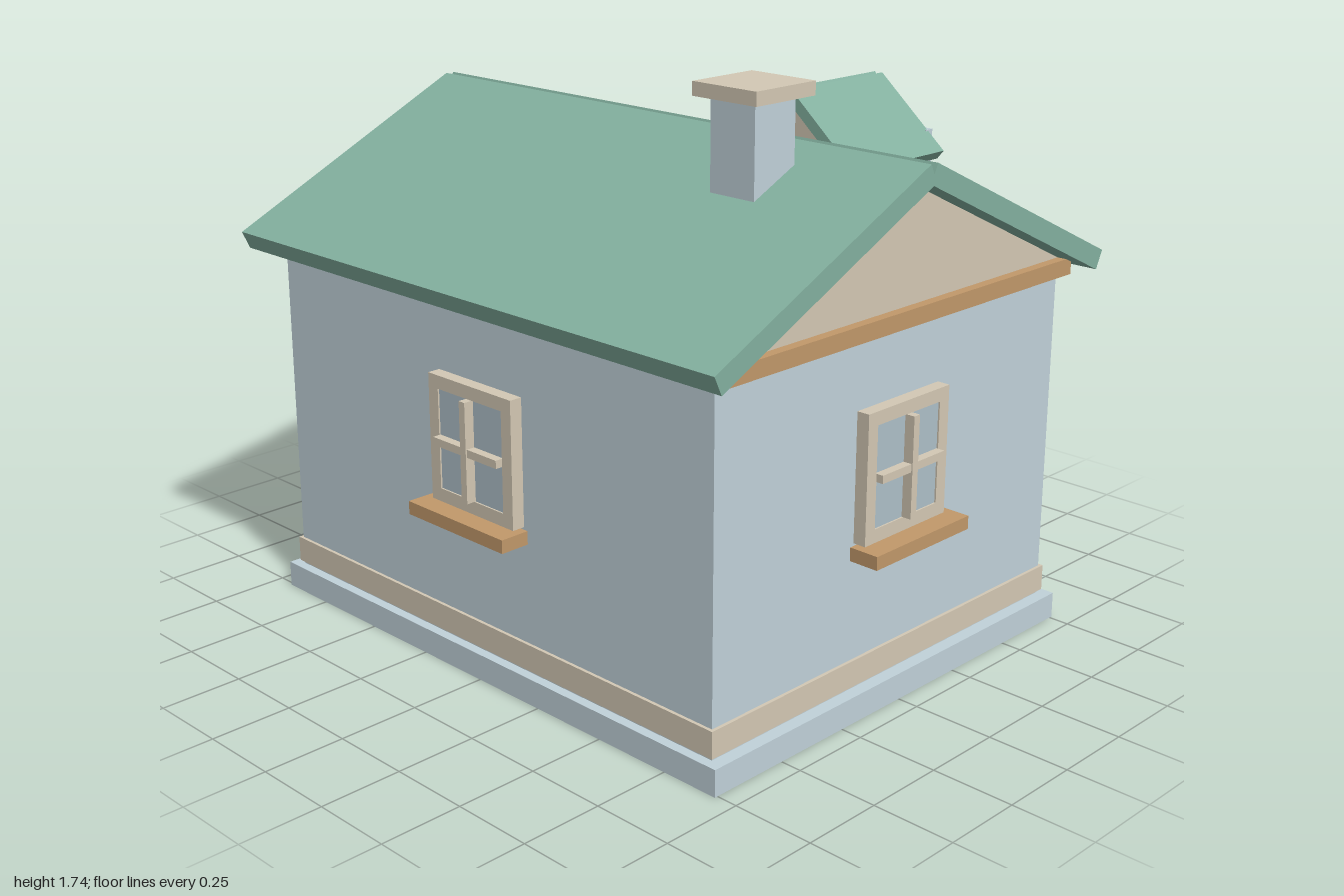
import * as THREE from 'three';

const mat = (name, color, side = THREE.FrontSide) => {
  const m = new THREE.MeshStandardMaterial({ color, side });
  m.name = name;
  return m;
};

export function createModel() {
  const wall = mat('pale blue wall', 0xc0d1d9);
  const cream = mat('cream trim', 0xd3c8b4);
  const green = mat('green roof', 0x83b09f);
  const shutterGreen = mat('shutter green', 0x6a9f8b);
  const wood = mat('brown wood', 0xc1986a);
  const glass = mat('window glass', 0xaebfc8);

  const house = new THREE.Group();
  house.name = 'house';

  const add = (parent, name, geometry, material) => {
    const mesh = new THREE.Mesh(geometry, material);
    mesh.name = name;
    parent.add(mesh);
    return mesh;
  };
  // Box given by its lower and upper corners
  const box = (parent, name, material, [x0, y0, z0], [x1, y1, z1]) => {
    const mesh = add(parent, name, new THREE.BoxGeometry(x1 - x0, y1 - y0, z1 - z0), material);
    mesh.position.set((x0 + x1) / 2, (y0 + y1) / 2, (z0 + z1) / 2);
    return mesh;
  };
  const block = (name, material, hx, y0, y1, hz) =>
    box(house, name, material, [-hx, y0, -hz], [hx, y1, hz]);
  // Profile in x and y, extruded along z from z0 to z1
  const prism = (parent, name, material, points, z0, z1) => {
    const shape = new THREE.Shape(points.map(([x, y]) => new THREE.Vector2(x, y)));
    const geometry = new THREE.ExtrudeGeometry(shape, { depth: z1 - z0, bevelEnabled: false });
    geometry.translate(0, 0, z0);
    return add(parent, name, geometry, material);
  };
  // Two tilted slabs meeting at a ridge along z
  const roofPair = (parent, name, ridge, eave, t, z0, z1) => {
    const dx = eave[0] - ridge[0], dy = eave[1] - ridge[1], l = Math.hypot(dx, dy);
    const ox = dy / l * t, oy = -dx / l * t;
    const right = [ridge, [ridge[0] + ox, ridge[1] + oy], [eave[0] + ox, eave[1] + oy], eave];
    prism(parent, name, green, right, z0, z1);
    prism(parent, name, green, right.map(([x, y]) => [-x, y]), z0, z1);
  };

  // Foundation, walls and trim
  block('foundation', wall, 0.935, 0, 0.08, 0.76);
  block('walls', wall, 0.895, 0.08, 1.12, 0.73);
  block('skirting', cream, 0.905, 0.09, 0.17, 0.74);
  block('woodTrim', wood, 0.925, 1.10, 1.15, 0.76);

  // Main roof and gables
  const roof = new THREE.Group();
  roof.name = 'roof';
  roof.rotation.y = Math.PI / 2;
  house.add(roof);
  prism(roof, 'gables', cream, [[-0.735, 1.15], [0.735, 1.15], [0, 1.5]], -0.895, 0.895);
  roofPair(roof, 'roofSlab', [0.014, 1.558], [0.827, 1.172], 0.06, -0.985, 0.985);

  // Chimney
  box(house, 'chimney', wall, [0.44, 1.2, 0.11], [0.6, 1.7, 0.27]);
  box(house, 'chimneyCap', cream, [0.405, 1.7, 0.07], [0.635, 1.74, 0.305]);

  // Dormer, built facing +z and turned to the back
  const dormer = new THREE.Group();
  dormer.name = 'dormer';
  dormer.position.x = 0.3;
  dormer.rotation.y = Math.PI;
  house.add(dormer);
  box(dormer, 'dormerBody', wall, [-0.195, 1.25, 0.22], [0.195, 1.42, 0.605]);
  box(dormer, 'dormerFront', wall, [-0.195, 1.31, 0.605], [0.195, 1.49, 0.635]);
  prism(dormer, 'dormerGable', cream, [[-0.2, 1.42], [0.2, 1.42], [0, 1.59]], 0.23, 0.58);
  roofPair(dormer, 'dormerRoof', [0.014, 1.64], [0.255, 1.435], 0.035, 0.2, 0.615);
  const porthole = add(dormer, 'dormerWindowFrame', new THREE.CylinderGeometry(0.058, 0.058, 0.02, 6), wall);
  porthole.rotation.x = Math.PI / 2;
  porthole.position.set(0, 1.425, 0.637);
  const pane = add(dormer, 'dormerWindowGlass', new THREE.CylinderGeometry(0.045, 0.045, 0.005, 6), glass);
  pane.rotation.x = Math.PI / 2;
  pane.position.set(0, 1.425, 0.647);

  // Windows, built on a wall at z = 0 and facing +z
  const addWindow = (x, z, turn, shutters) => {
    const g = new THREE.Group();
    g.name = 'window';
    g.position.set(x, 0, z);
    g.rotation.y = turn;
    house.add(g);
    const shape = new THREE.Shape([[-0.175, 0.52], [0.175, 0.52], [0.175, 0.9], [-0.175, 0.9]]
      .map(p => new THREE.Vector2(...p)));
    shape.holes.push(new THREE.Path([[-0.135, 0.56], [-0.135, 0.86], [0.135, 0.86], [0.135, 0.56]]
      .map(p => new THREE.Vector2(...p))));
    add(g, 'windowFrame', new THREE.ExtrudeGeometry(shape, { depth: 0.04, bevelEnabled: false }), cream);
    box(g, 'windowGlass', glass, [-0.136, 0.559, 0.027], [0.136, 0.861, 0.035]);
    box(g, 'verticalBar', cream, [-0.012, 0.56, 0.035], [0.012, 0.86, 0.066]);
    box(g, 'horizontalBar', cream, [-0.135, 0.698, 0.035], [0.135, 0.722, 0.062]);
    box(g, 'windowSill', wood, [-0.203, 0.48, 0.012], [0.203, 0.52, 0.105]);
    if (shutters) for (const s of [-1, 1]) {
      const c = s * 0.235;
      box(g, 'shutter', shutterGreen, [c - 0.057, 0.52, 0], [c + 0.057, 0.9, 0.05]);
    }
  };
  addWindow(0, 0.73, 0, false);
  addWindow(0.895, 0, Math.PI / 2, false);
  addWindow(-0.895, 0, -Math.PI / 2, false);
  addWindow(0.445, -0.73, Math.PI, true);

  // Door on the back wall
  box(house, 'doorFrame', cream, [-0.54, 0.08, -0.768], [-0.02, 0.89, -0.73]);
  box(house, 'door', wood, [-0.49, 0.08, -0.792], [-0.065, 0.86, -0.768]);
  const knob = add(house, 'doorKnob', new THREE.SphereGeometry(0.017, 12, 8), wood);
  knob.position.set(-0.13, 0.44, -0.805);

  return house;
}
